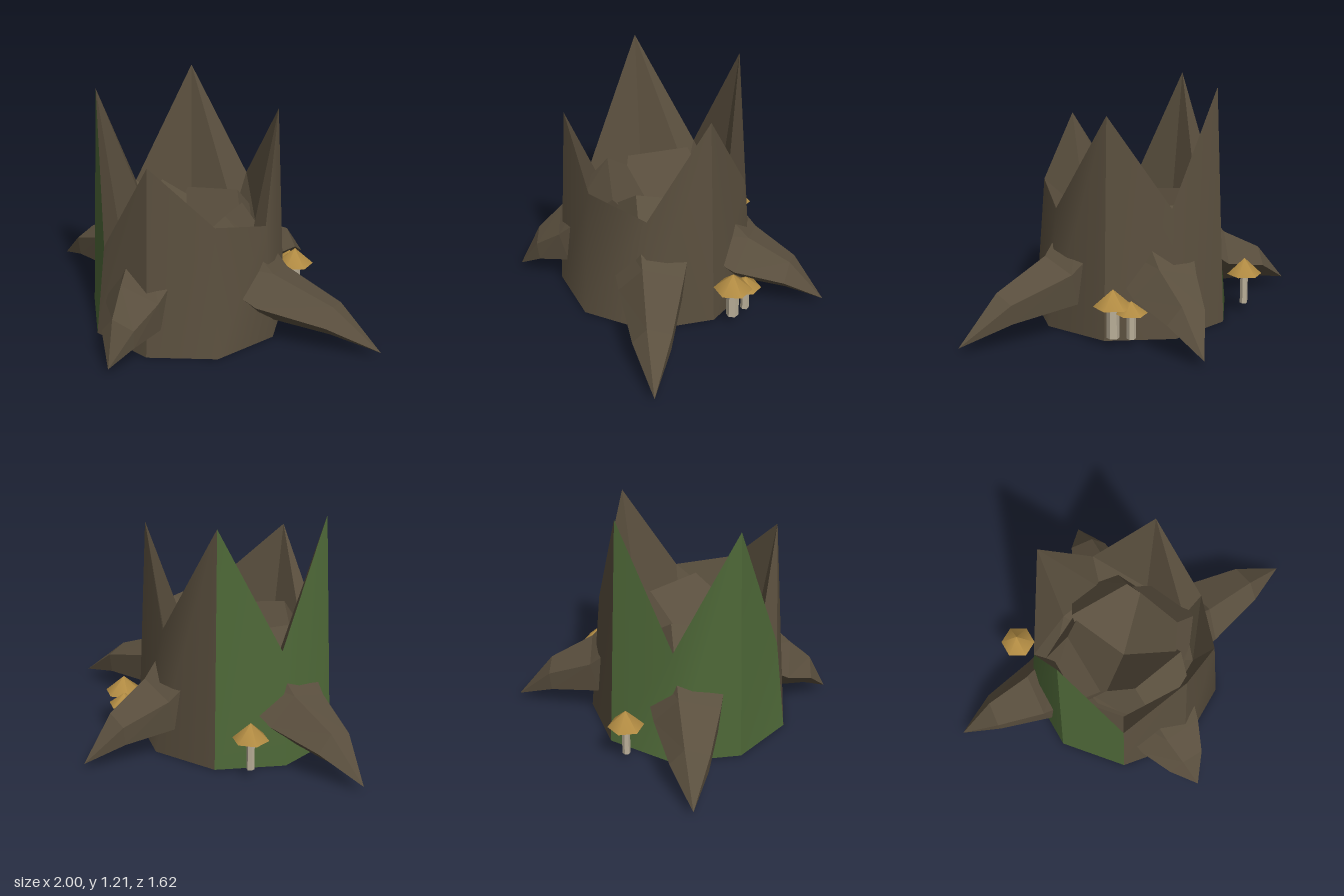
import * as THREE from 'three';

const CX = -0.07, CZ = 0.07;
const SIDES = 9, BASE_R = 0.517, RIM_R = 0.462;
// rim height at each corner: tall splinters alternate with notches
const RIM = [0.61, 0.69, 0.99, 0.48, 1.2, 0.59, 1.21, 0.65, 1.11];

function material(name, color) {
  const m = new THREE.MeshStandardMaterial({ color, side: THREE.DoubleSide });
  m.name = name;
  return m;
}

function build(points, faces, flat) {
  let g = new THREE.BufferGeometry();
  g.setAttribute('position', new THREE.Float32BufferAttribute(points.flat(), 3));
  g.setIndex(faces);
  if (flat) g = g.toNonIndexed();
  g.computeVertexNormals();
  return g;
}

function mesh(name, geometry, mat) {
  const m = new THREE.Mesh(geometry, mat);
  m.name = name;
  return m;
}

// point on the trunk at corner k
function corner(k, r, y) {
  const a = (k * Math.PI * 2) / SIDES;
  return [CX + Math.cos(a) * r, y, CZ + Math.sin(a) * r];
}

// strip of trunk panels through the given rows of [radius, height] per corner
function wall(from, to, rows, inward) {
  const pts = [], faces = [], n = rows.length;
  for (let k = from; k <= to; k++) {
    for (const row of rows) {
      const [r, y] = row(k % SIDES);
      pts.push(corner(k, r, y));
    }
  }
  for (let k = 0; k < to - from; k++) {
    for (let j = 0; j < n - 1; j++) {
      const a = k * n + j, b = a + 1, c = a + n, d = c + 1;
      if (inward) faces.push(a, c, b, b, c, d);
      else faces.push(a, b, c, b, d, c);
    }
  }
  return build(pts, faces, inward);
}

// five-sided root: slanted inner end, knee at the bark, pointed tip
const SECTION = [[-0.07, 0.16], [-0.2, 0], [-0.03, -0.15], [0.14, -0.08], [0.15, 0.1]];

function root(tipX, tipZ) {
  const dx = tipX - CX, dz = tipZ - CZ, len = Math.hypot(dx, dz);
  const d = [dx / len, dz / len];
  const place = (u, s, y) => [CX + d[0] * u + d[1] * s, y, CZ + d[1] * u - d[0] * s];
  const knee = 0.48;
  // [distance, height, lean, scale]
  const rings = [
    [0.115, 0.475, 0.66, 1.42],
    [knee, 0.225, 0.25, 0.93],
    [knee + (len - knee) * 0.57, 0.16, 0.1, 0.55],
  ];
  const pts = [], faces = [];
  for (const [u, y, lean, k] of rings) {
    const up = Math.sqrt(1 - lean * lean);
    for (const [s, h] of SECTION) pts.push(place(u + h * k * lean, s * k, y + h * k * up));
  }
  const tip = pts.length;
  pts.push(place(len, 0, 0.035));
  for (let i = 0; i < 5; i++) {
    const j = (i + 1) % 5;
    for (let r = 0; r < 2; r++) {
      const a = r * 5 + i, b = r * 5 + j;
      faces.push(a, b, a + 5, b, b + 5, a + 5);
    }
    faces.push(10 + i, 10 + j, tip);
    if (i > 0 && i < 4) faces.push(0, j, i);
  }
  return build(pts, faces, true);
}

export function createModel() {
  const model = new THREE.Group();
  model.name = 'treeStump';
  const bark = material('bark brown', 0x5a4f3e);
  const moss = material('moss green', 0x4d6737);
  const capMat = material('mushroom ochre', 0xb08a42);
  const stemMat = material('mushroom stem cream', 0xb9ae98);

  // broken trunk shell, open below, creased at the splinters
  const base = () => [BASE_R, 0];
  const rim = (k) => [RIM_R, RIM[k]];
  for (const [from, to] of [[6, 8], [8, 11], [11, 12]]) {
    model.add(mesh('barkWall', wall(from, to, [base, rim], false), bark));
  }
  // mossy panels
  for (const [from, to] of [[3, 4], [4, 6]]) {
    model.add(mesh('mossWall', wall(from, to, [base, rim], false), moss));
  }

  // hollow: inner wall sloping to a ledge
  const foot = () => [0.365, 0.44];
  const ledge = () => [0.22, 0.4];
  model.add(mesh('hollow', wall(0, 9, [ledge, foot, rim], true), bark));

  // four roots meeting in the middle of the hollow
  const tips = { rootLeft: [1, -0.03], rootRight: [-1, -0.07], rootFront: [-0.04, 0.81], rootBack: [0.135, -0.815] };
  for (const [name, [x, z]] of Object.entries(tips)) model.add(mesh(name, root(x, z), bark));

  // mushrooms: [x, z, cap radius, rim height, cap height, stem radius]
  const mushrooms = [
    [0.335, -0.355, 0.097, 0.21, 0.085, 0.032],
    [0.27, -0.415, 0.08, 0.18, 0.06, 0.022],
    [-0.51, -0.32, 0.09, 0.21, 0.085, 0.02],
  ];
  for (const [x, z, r, y, h, sr] of mushrooms) {
    const g = new THREE.Group();
    g.name = 'mushroom';
    g.position.set(x, 0, z);
    const cap = mesh('mushroomCap', new THREE.ConeGeometry(r, h, 6), capMat);
    cap.position.y = y + h / 2;
    const stemShape = new THREE.CylinderGeometry(sr, sr, y - 0.04, 6).toNonIndexed();
    stemShape.computeVertexNormals();
    const stem = mesh('mushroomStem', stemShape, stemMat);
    stem.position.y = 0.05 + (y - 0.04) / 2;
    g.add(cap, stem);
    model.add(g);
  }
  return model;
}
